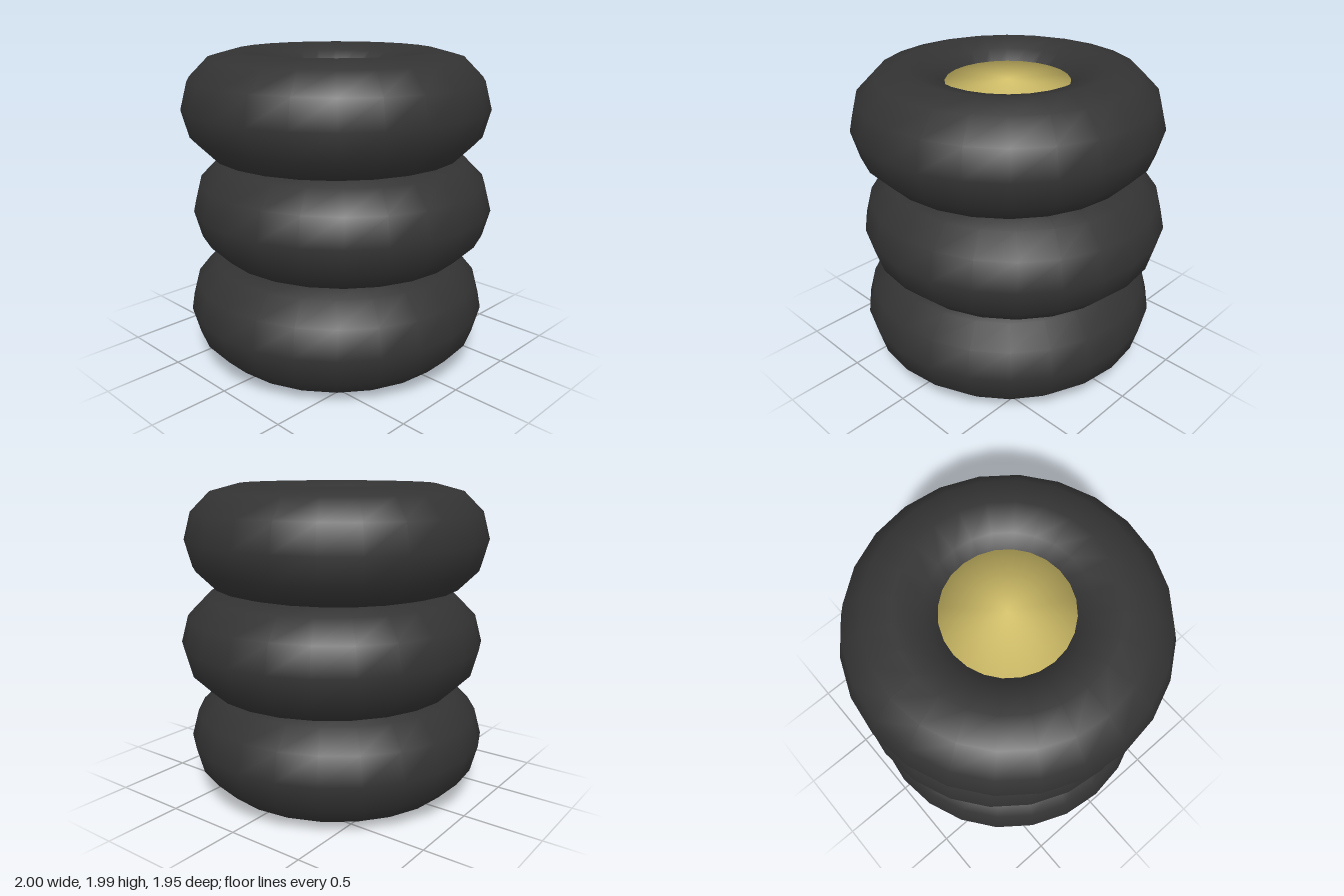
import * as THREE from 'three';
import { mergeVertices } from 'three/addons/utils/BufferGeometryUtils.js';

const rubber = new THREE.MeshStandardMaterial({ color: 0x333333 });
rubber.name = 'dark rubber';
const sand = new THREE.MeshStandardMaterial({ color: 0xd8c56c });
sand.name = 'sand yellow';
const metal = new THREE.MeshStandardMaterial({ color: 0xaaaaad });
metal.name = 'light grey';

const OFFSET = 0.0275; // sideways stagger of the stacked rings

function addMesh(group, name, geometry, material, x, y) {
  const mesh = new THREE.Mesh(geometry, material);
  mesh.name = name;
  mesh.position.set(x, y, 0);
  group.add(mesh);
  return mesh;
}

// Cylinder whose normals run smoothly over the rim
function softCylinder(radius, height) {
  const g = new THREE.CylinderGeometry(radius, radius, height, 24);
  g.deleteAttribute('normal');
  g.deleteAttribute('uv');
  const merged = mergeVertices(g, 1e-4);
  merged.computeVertexNormals();
  return merged;
}

export function createModel() {
  const model = new THREE.Group();
  model.name = 'tyreStack';

  // Three tyres, the middle one shifted to the side
  const tyre = new THREE.TorusGeometry(0.63, 0.3425, 12, 24).rotateX(-Math.PI / 2);
  [0.35, 1, 1.65].forEach((y, i) => {
    addMesh(model, ['bottomTyre', 'middleTyre', 'topTyre'][i], tyre, rubber, i === 1 ? OFFSET : -OFFSET, y);
  });

  // Filling seen in the top opening
  addMesh(model, 'filling', softCylinder(0.385, 1.785), sand, -OFFSET, 0.9925);

  // Square base plate with a round core closing the bottom opening
  addMesh(model, 'basePlate', new THREE.BoxGeometry(0.86, 0.02, 0.86), rubber, -OFFSET, 0.013);
  addMesh(model, 'core', softCylinder(0.41, 0.6), metal, -OFFSET, 0.3);

  return model;
}
